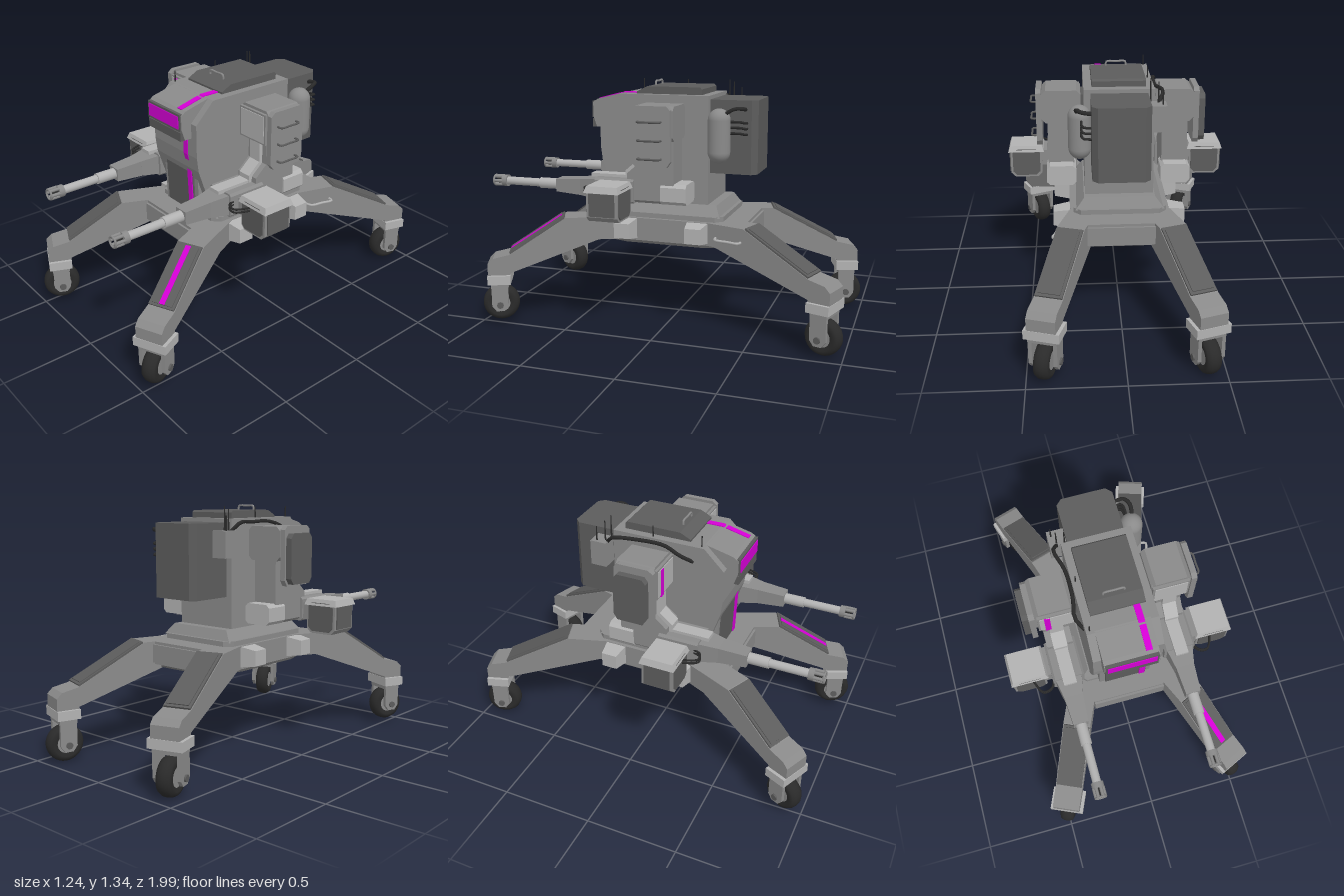
import * as THREE from 'three';

const mat = (color) => new THREE.MeshStandardMaterial({ color });
const MID = mat(0x8a8a8a), DARK = mat(0x5c5c5c), LIGHT = mat(0xb2b2b2), BLACK = mat(0x2a2a2a), PAINT = mat(0xd400d4);

function add(parent, name, geo, material, x = 0, y = 0, z = 0) {
  const m = new THREE.Mesh(geo, material);
  m.name = name;
  m.position.set(x, y, z);
  parent.add(m);
  return m;
}
// box given by its limits
function box(parent, name, material, x0, x1, y0, y1, z0, z1) {
  return add(parent, name, new THREE.BoxGeometry(Math.abs(x1 - x0), y1 - y0, z1 - z0), material,
    (x0 + x1) / 2, (y0 + y1) / 2, (z0 + z1) / 2);
}
function extrude(pts, depth) {
  const shape = new THREE.Shape(pts.map(([a, b]) => new THREE.Vector2(a, b)));
  return new THREE.ExtrudeGeometry(shape, { depth, bevelEnabled: false }).translate(0, 0, -depth / 2);
}
// side profile of [z, y] points, extruded across x
const sideProfile = (pts, width) => extrude(pts, width).rotateY(-Math.PI / 2);
// plan outline of [x, z] points, extruded up y
const plan = (pts, height) => extrude(pts.map(([x, z]) => [x, -z]), height).rotateX(-Math.PI / 2);
const octagon = (w, h, c) => [[w - c, -h], [w, -h + c], [w, h - c], [w - c, h], [-w + c, h], [-w, h - c], [-w, -h + c], [-w + c, -h]];
// box whose top is scaled
function taper(w, h, d, sx, sz) {
  const g = new THREE.BoxGeometry(w, h, d).toNonIndexed(), p = g.attributes.position;
  for (let i = 0; i < p.count; i++) if (p.getY(i) > 0) p.setXYZ(i, p.getX(i) * sx, p.getY(i), p.getZ(i) * sz);
  g.computeVertexNormals();
  return g;
}
const tube = (pts, r) => new THREE.TubeGeometry(
  new THREE.CatmullRomCurve3(pts.map((p) => new THREE.Vector3(...p)), false, 'centripetal'), 16, r, 6);
const rodZ = (r, z0, z1, n = 16) => new THREE.CylinderGeometry(r, r, z1 - z0, n).rotateX(Math.PI / 2).translate(0, 0, (z0 + z1) / 2);

// leg with its caster; local +z points outward, origin under the foot
function makeLeg(name, bend, drop, stripe) {
  const leg = new THREE.Group();
  leg.name = name;
  const top = [-0.06, 0.405];
  add(leg, 'legBeam', sideProfile([[-0.75, 0.48], [-bend - 0.18, 0.48], [-0.06, 0.3], [-0.06, 0.285], [0.06, 0.285],
    [0.06, 0.355], [0.03, 0.385], top, [-bend, 0.605], [-0.75, 0.605]], 0.15), MID);
  const run = bend + top[0], fall = 0.605 - top[1], len = Math.hypot(run, fall);
  const panel = new THREE.Group();
  panel.name = 'slopePanel';
  panel.position.set(0, (0.605 + top[1]) / 2, (-bend + top[0]) / 2);
  panel.rotation.x = Math.atan2(fall, run);
  leg.add(panel);
  add(panel, 'panelFrame', new THREE.BoxGeometry(0.142, 0.02, len * 0.97), DARK);
  add(panel, 'panelInset', new THREE.BoxGeometry(0.115, 0.03, len * 0.9), DARK);
  if (stripe) add(panel, 'panelStripe', new THREE.BoxGeometry(0.03, 0.034, len * 0.9), PAINT);
  box(leg, 'footPlate', LIGHT, -0.0925, 0.0925, 0.24, 0.29, -0.0625, 0.0625);
  // fork and wheel
  box(leg, 'forkBridge', MID, -0.075, 0.075, 0.215, 0.24, -0.047, 0.047);
  const y = 0.1 + drop;
  for (const s of [-1, 1]) {
    add(leg, 'forkArm', sideProfile([[-0.022, y - 0.035], [0.022, y - 0.035], [0.045, y - 0.005], [0.045, 0.22],
      [-0.045, 0.22], [-0.045, y - 0.005]], 0.02), MID, s * 0.065);
    add(leg, 'axleCap', new THREE.CylinderGeometry(0.018, 0.018, 0.02, 12).rotateZ(Math.PI / 2), DARK, s * 0.075, y);
  }
  const tire = [[0.05, -0.035], [0.07, -0.042], [0.088, -0.036], [0.098, -0.018], [0.1, 0], [0.098, 0.018], [0.088, 0.036],
    [0.07, 0.042], [0.05, 0.035]].map((p) => new THREE.Vector2(...p));
  add(leg, 'tire', new THREE.LatheGeometry(tire, 32).rotateZ(Math.PI / 2), BLACK, 0, y);
  add(leg, 'hub', new THREE.CylinderGeometry(0.051, 0.051, 0.066, 24).rotateZ(Math.PI / 2), MID, 0, y);
  return leg;
}

// gun, pointing along +z, with its ammunition box on the outer side s
function makeGun(s) {
  const gun = new THREE.Group();
  gun.name = s > 0 ? 'leftGun' : 'rightGun';
  gun.position.set(s * 0.31, 0.775, 0);
  add(gun, 'receiver', extrude(octagon(0.07, 0.06, 0.015), 0.37), MID, 0, 0, 0.165);
  add(gun, 'receiverCollar', extrude(octagon(0.085, 0.065, 0.012), 0.22), MID, 0, 0, 0.24);
  box(gun, 'receiverRail', LIGHT, -0.035, 0.035, 0.06, 0.08, 0.14, 0.39);
  add(gun, 'receiverNose', taper(0.14, 0.1, 0.11, 0.72, 0.8).rotateX(Math.PI / 2), MID, 0, 0, 0.4);
  add(gun, 'barrelShroud', taper(0.1, 0.15, 0.088, 0.8, 0.8).rotateX(Math.PI / 2), MID, 0, 0, 0.525);
  add(gun, 'barrelSleeve', rodZ(0.03, 0.58, 0.71), LIGHT);
  add(gun, 'barrel', rodZ(0.023, 0.7, 0.94), LIGHT);
  add(gun, 'muzzleCollar', rodZ(0.033, 0.915, 0.945), MID);
  add(gun, 'muzzleRing', new THREE.TorusGeometry(0.028, 0.006, 6, 20), MID, 0, 0, 0.994);
  for (let i = 0; i < 6; i++) {
    const a = (i * Math.PI) / 3;
    add(gun, 'muzzleProng', rodZ(0.009, 0.94, 0.995, 8), MID, 0.025 * Math.cos(a), 0.025 * Math.sin(a));
  }
  add(gun, 'muzzleCore', rodZ(0.015, 0.94, 0.98), BLACK);
  add(gun, 'elbow', extrude(octagon(0.08, 0.055, 0.018), 0.14), LIGHT, 0, -0.005, -0.088);
  // ammunition box
  const ammo = new THREE.Group();
  ammo.name = 'ammoBox';
  ammo.position.set(s * 0.205, -0.035, 0.22);
  gun.add(ammo);
  add(ammo, 'ammoCase', extrude(octagon(0.09, 0.09, 0.025), 0.17), MID);
  add(ammo, 'ammoFacePanel', extrude(octagon(0.078, 0.078, 0.022), 0.182), DARK);
  box(ammo, 'ammoSidePanel', DARK, s * 0.08, s * 0.097, -0.06, 0.06, -0.07, 0.07);
  add(ammo, 'ammoLid', taper(0.205, 0.035, 0.19, 0.88, 0.88), LIGHT, 0, 0.08);
  box(ammo, 'ammoFeed', MID, -s * 0.085, -s * 0.14, -0.02, 0.07, -0.08, 0.08);
  for (const y of [0.005, 0.022])
    add(gun, 'feedHose', tube([[s * 0.07, y, 0.3], [s * 0.1, y, 0.37], [s * 0.15, y, 0.38], [s * 0.19, y, 0.3]], 0.006), BLACK);
  return gun;
}

// shoulder pod and upper arm on side s
function makeShoulder(s) {
  const g = new THREE.Group();
  g.name = s > 0 ? 'leftShoulder' : 'rightShoulder';
  add(g, 'pod', extrude(octagon(0.105, 0.09, 0.022), 0.21), MID, s * 0.305, 1.14, 0.01);
  box(g, 'podFrame', MID, s * 0.205, s * 0.4, 1.05, 1.215, 0.1, 0.13);
  box(g, 'podFace', LIGHT, s * 0.215, s * 0.39, 1.06, 1.205, 0.12, 0.134);
  box(g, 'shoulderJoint', DARK, s * 0.16, s * 0.22, 1.07, 1.2, -0.07, 0.09);
  add(g, 'sidePlate', sideProfile([[-0.09, 0.95], [-0.07, 0.92], [0.1, 0.92], [0.125, 0.95], [0.125, 1.215], [0.1, 1.235],
    [-0.07, 1.235], [-0.09, 1.215]], 0.03), MID, s * 0.425);
  add(g, 'upperArm', sideProfile([[-0.09, 0.82], [0, 0.76], [0.17, 0.8], [0.17, 0.87], [0.1, 0.93], [0.1, 1.06], [-0.09, 1.06]], 0.14), MID, s * 0.31);
  add(g, 'armRib', sideProfile([[0, 0.8], [0.19, 0.8], [0.19, 0.88], [0.12, 0.94], [0.12, 1.06], [0, 1.06]], 0.075), LIGHT, s * 0.31);
  if (s > 0) {
    for (const y of [0.965, 1.06, 1.155])
      add(g, 'rung', tube([[0.43, y, -0.04], [0.465, y, -0.038], [0.468, y, 0.02], [0.465, y, 0.078], [0.43, y, 0.08]], 0.006), DARK);
  } else {
    add(g, 'sideCover', sideProfile([[-0.08, 0.96], [-0.06, 0.93], [0.08, 0.93], [0.1, 0.96], [0.1, 1.17], [0.08, 1.195],
      [-0.06, 1.195], [-0.08, 1.17]], 0.035), DARK, -0.457);
    box(g, 'podStripe', PAINT, -0.365, -0.335, 1.05, 1.205, 0.12, 0.137);
  }
  return g;
}

export function createModel() {
  const model = new THREE.Group();
  model.name = 'walkerTurret';

  // base platform
  const outline = (k) => [[0.2, 0.46], [0.27, 0.25], [0.27, -0.22], [0.2, -0.44], [-0.2, -0.44], [-0.27, -0.22], [-0.27, 0.25], [-0.2, 0.46]]
    .map(([x, z]) => [x * k, z * k]).reverse();
  add(model, 'basePlatform', plan(outline(1), 0.125), MID, 0, 0.5425);
  add(model, 'baseUnderside', plan(outline(0.92), 0.03), DARK, 0, 0.475);
  add(model, 'bellyHatch', plan(outline(0.68), 0.02), DARK, 0, 0.46);
  for (const z of [0.46, -0.44]) box(model, 'basePanel', MID, -0.2, 0.2, 0.49, 0.59, z - 0.012, z + 0.012);
  add(model, 'turntable', plan(octagon(0.25, 0.325, 0.04), 0.03), MID, 0, 0.617, 0.01);
  add(model, 'bodySkirt', taper(0.48, 0.06, 0.62, 0.8, 0.9), MID, 0, 0.655, 0.01);
  for (const s of [-1, 1]) for (const z of [0.215, -0.185])
    add(model, 'baseLug', taper(0.11, 0.09, 0.115, 0.75, 0.75).rotateZ(-s * Math.PI / 2), LIGHT, s * 0.315, 0.547, z);

  // legs
  for (const s of [-1, 1]) {
    const front = makeLeg('frontLeg', 0.37, 0.018, s > 0), rear = makeLeg('rearLeg', 0.44, 0, false);
    front.position.set(s * 0.48, 0, 0.895);
    front.rotation.y = s * 0.42;
    rear.position.set(s * 0.4, 0, -0.895);
    rear.rotation.y = Math.PI - s * 0.31;
    model.add(front, rear, makeShoulder(s), makeGun(s));
  }
  add(model, 'legHandle', tube([[0.27, 0.53, -0.29], [0.325, 0.53, -0.3], [0.345, 0.53, -0.37], [0.36, 0.53, -0.43], [0.32, 0.53, -0.44]], 0.008), LIGHT);

  // body
  add(model, 'body', sideProfile([[-0.22, 0.62], [0.28, 0.62], [0.33, 0.72], [0.39, 0.9], [0.4, 0.98], [0.4, 1.16], [0.29, 1.27], [-0.22, 1.27]], 0.37), MID);
  add(model, 'chestColumn', sideProfile([[0.1, 0.62], [0.36, 0.62], [0.37, 0.89], [0.1, 0.89]], 0.29), MID);
  add(model, 'chestPanel', sideProfile([[0.1, 0.63], [0.37, 0.63], [0.38, 0.915], [0.1, 0.915]], 0.23), DARK);
  add(model, 'bodyStripe', sideProfile([[0.2, 0.63], [0.375, 0.63], [0.385, 0.9], [0.404, 0.98], [0.404, 1.16], [0.29, 1.275], [0.18, 1.275]], 0.034), PAINT, 0.094);

  // visor
  add(model, 'visorHood', sideProfile([[0.28, 1.08], [0.44, 1.08], [0.46, 1.14], [0.46, 1.215], [0.43, 1.235], [0.37, 1.25], [0.28, 1.272]], 0.285), MID);
  box(model, 'visorFrame', DARK, -0.138, 0.138, 1.13, 1.222, 0.4, 0.467);
  box(model, 'visorGlass', PAINT, -0.127, 0.127, 1.143, 1.21, 0.4, 0.471);
  box(model, 'visorLip', DARK, -0.138, 0.138, 1.078, 1.125, 0.38, 0.465);
  const hoodStripe = add(model, 'hoodStripe', new THREE.BoxGeometry(0.034, 0.012, 0.13), PAINT, 0.094, 1.248, 0.37);
  hoodStripe.rotation.x = 0.25;

  // roof hatch
  add(model, 'roofHatch', sideProfile([[-0.17, 1.265], [0.2, 1.265], [0.2, 1.28], [0.14, 1.31], [-0.16, 1.31], [-0.17, 1.3]], 0.285), DARK);
  add(model, 'hatchHandle', tube([[-0.055, 1.3, 0.12], [-0.052, 1.33, 0.12], [0, 1.332, 0.12], [0.052, 1.33, 0.12], [0.055, 1.3, 0.12]], 0.006), MID);

  // rear power pack with tank and hoses
  add(model, 'powerPack', plan([[-0.15, -0.2], [0.15, -0.2], [0.15, -0.445], [0.12, -0.475], [-0.12, -0.475], [-0.15, -0.445]], 0.395), DARK, 0, 1.052);
  add(model, 'tank', new THREE.CapsuleGeometry(0.06, 0.17, 8, 24), MID, 0.21, 1.065, -0.285);
  for (const y of [1.08, 1.11, 1.14])
    add(model, 'tankHose', tube([[0.2, y, -0.32], [0.2, y, -0.4], [0.19, y - 0.005, -0.42], [0.14, y - 0.01, -0.42]], 0.007), BLACK);
  add(model, 'tankPipe', tube([[0.14, 1.2, -0.41], [0.2, 1.21, -0.41], [0.225, 1.21, -0.37], [0.22, 1.17, -0.3]], 0.011), BLACK);

  // radio box, aerials and cable
  box(model, 'radioBox', MID, -0.24, -0.15, 1.07, 1.21, -0.33, -0.24);
  for (const [x, z, h] of [[-0.2, -0.26, 0.12], [-0.16, -0.245, 0.135], [-0.22, -0.3, 0.09]])
    add(model, 'aerial', new THREE.CylinderGeometry(0.003, 0.005, h, 6), BLACK, x, 1.2 + h / 2, z);
  for (const z of [0.27, 0])
    add(model, 'roofAerial', new THREE.CylinderGeometry(0.003, 0.004, 0.07, 6), BLACK, -0.165, 1.295, z);
  add(model, 'cable', tube([[-0.2, 1.2, -0.25], [-0.23, 1.25, -0.2], [-0.2, 1.25, -0.08], [-0.2, 1.25, 0.08], [-0.215, 1.22, 0.17], [-0.18, 1.18, 0.23]], 0.01), BLACK);
  return model;
}
